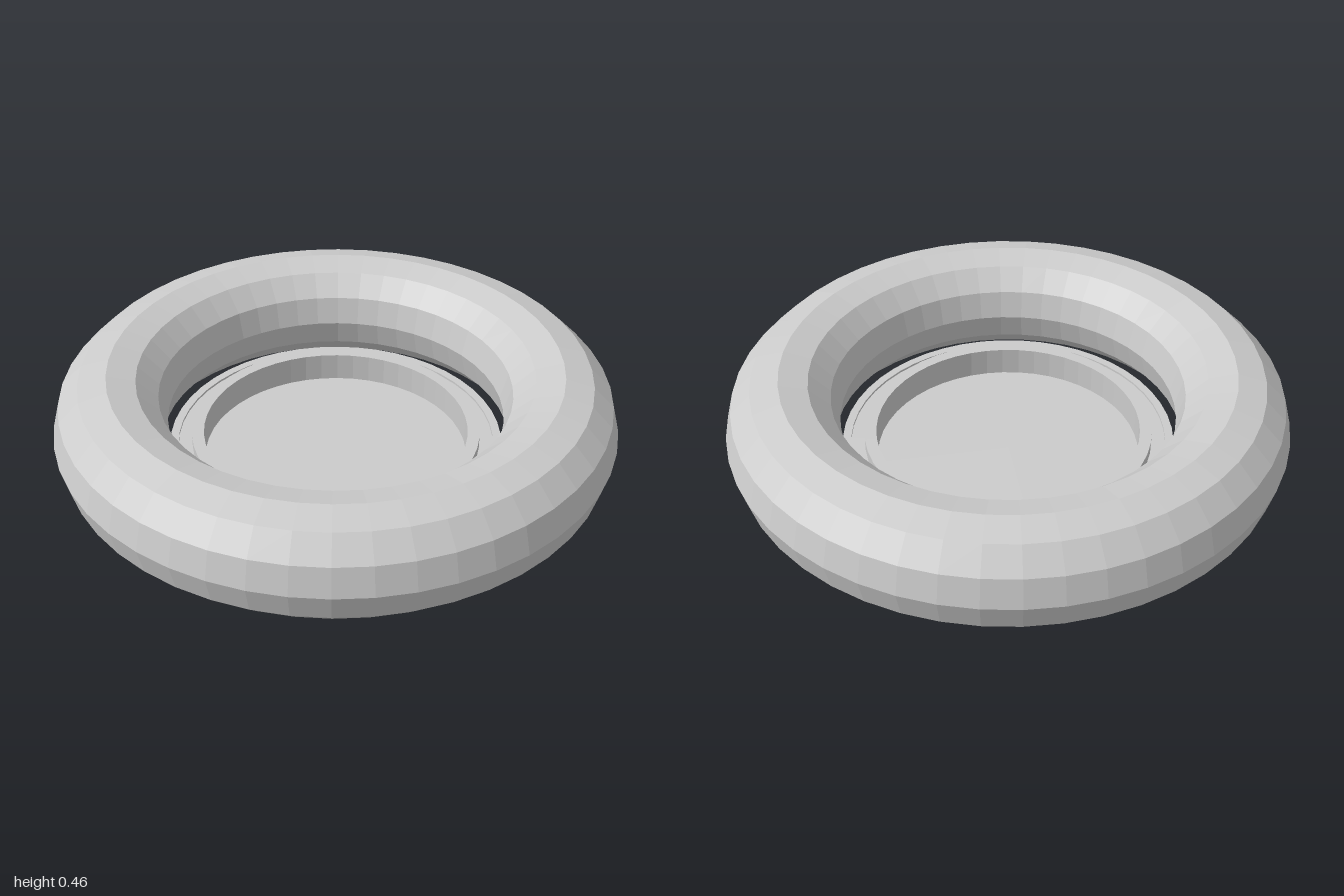
import * as THREE from 'three';

const SIDES = 48;

export function createModel() {
  const group = new THREE.Group();
  const material = new THREE.MeshStandardMaterial({ color: 0xcccccc, flatShading: true });

  function add(name, geometry, y = 0) {
    const mesh = new THREE.Mesh(geometry, material);
    mesh.name = name;
    mesh.position.y = y;
    group.add(mesh);
    return mesh;
  }

  // Closed band with a rectangular section
  function band(name, inner, outer, bottom, top) {
    const corners = [[outer, bottom], [outer, top], [inner, top], [inner, bottom], [outer, bottom]];
    add(name, new THREE.LatheGeometry(corners.map(([r, y]) => new THREE.Vector2(r, y)), SIDES));
  }

  // Fat faceted outer ring
  add('outerRing', new THREE.TorusGeometry(0.8, 0.2, 12, SIDES).rotateX(-Math.PI / 2), 0.26);

  // Stepped collar in the opening
  band('collarLip', 0.57, 0.6, 0.115, 0.15);
  band('collarFlange', 0.51, 0.575, 0.13, 0.142);

  // Upright socket wall, standing on the ground
  band('socketWall', 0.477, 0.52, 0, 0.187);

  // Recessed floor inside the socket
  add('socketFloor', new THREE.CylinderGeometry(0.48, 0.48, 0.015, SIDES), 0.0725);

  return group;
}
